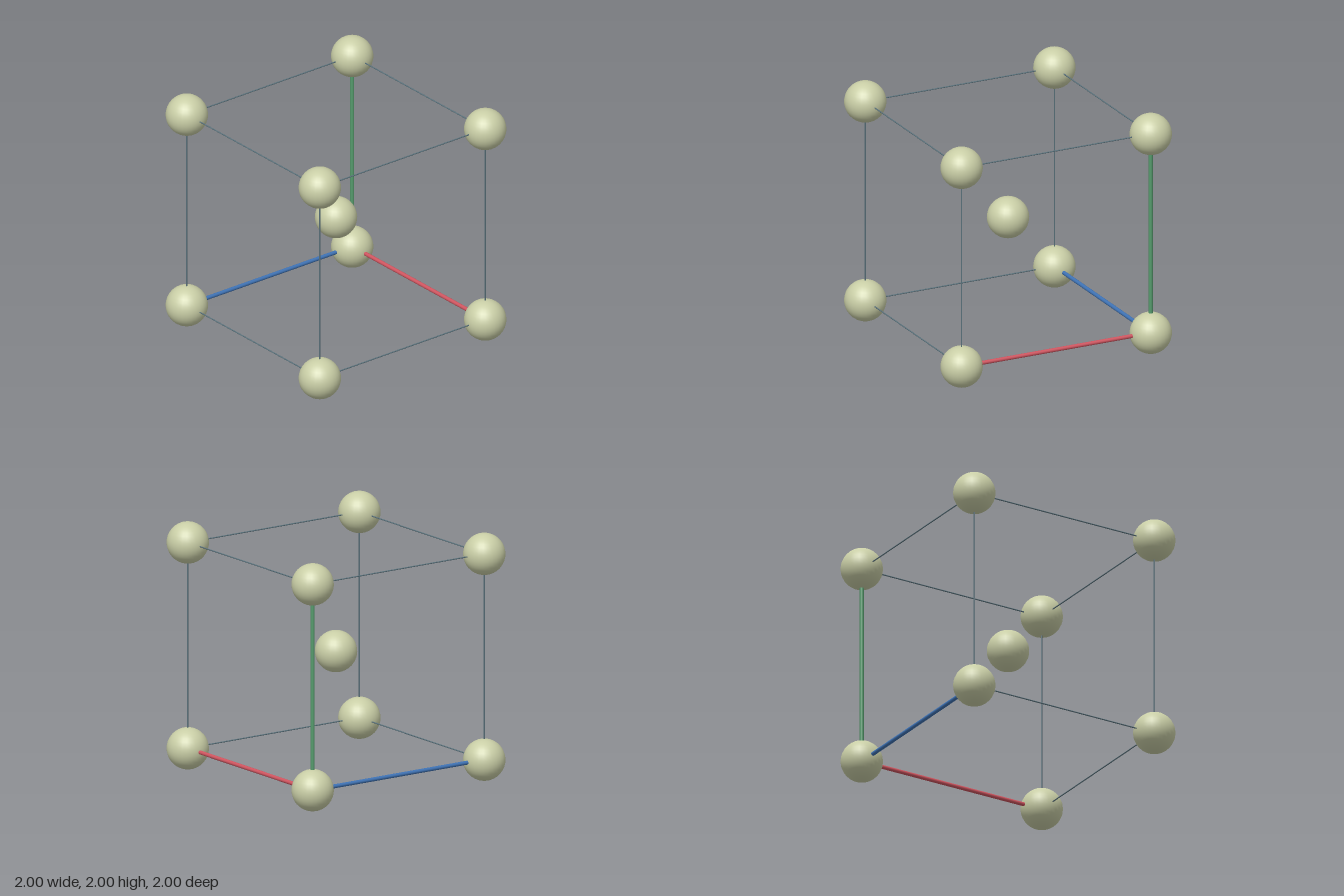
import * as THREE from 'three';

const R = 0.167;        // ball radius
const H = 1 - R;        // half edge of the cubic cell
const THICK = 0.016, THIN = 0.005;

function material(name, color) {
  const m = new THREE.MeshStandardMaterial({ color });
  m.name = name;
  return m;
}

export function createModel() {
  const group = new THREE.Group();
  group.name = 'cubicCell';
  const ballMat = material('paleOlive', 0xc9cea6);
  const edgeMat = material('slate', 0x5a727c);
  const axes = [
    { name: 'Red', mat: material('red', 0xcf5560), dir: 'x' },
    { name: 'Green', mat: material('green', 0x559a6c), dir: 'y' },
    { name: 'Blue', mat: material('blue', 0x3f73b5), dir: 'z' },
  ];

  // Balls at the eight corners and in the centre
  const ballGeo = new THREE.SphereGeometry(R, 28, 18);
  const addBall = (name, x, y, z) => {
    const ball = new THREE.Mesh(ballGeo, ballMat);
    ball.name = name;
    ball.position.set(x, y + 1, z);
    group.add(ball);
  };
  for (const x of [-H, H])
    for (const y of [-H, H])
      for (const z of [-H, H]) addBall('cornerBall', x, y, z);
  addBall('centreBall', 0, 0, 0);

  // Four rods per direction; the one through the back right bottom corner is a thick coloured axis
  const thickGeo = new THREE.CylinderGeometry(THICK, THICK, 2 * H, 16);
  const thinGeo = new THREE.CylinderGeometry(THIN, THIN, 2 * H, 12);
  for (const { name, mat, dir } of axes) {
    const [u, v] = ['x', 'y', 'z'].filter((a) => a !== dir);
    for (const a of [-H, H])
      for (const b of [-H, H]) {
        const isAxis = a < 0 && b < 0;
        const rod = new THREE.Mesh(isAxis ? thickGeo : thinGeo, isAxis ? mat : edgeMat);
        rod.name = isAxis ? 'axisRod' + name : 'edgeRod';
        rod.position[u] = a;
        rod.position[v] = b;
        rod.position.y += 1;
        if (dir === 'x') rod.rotation.z = Math.PI / 2;
        if (dir === 'z') rod.rotation.x = Math.PI / 2;
        group.add(rod);
      }
  }
  return group;
}
